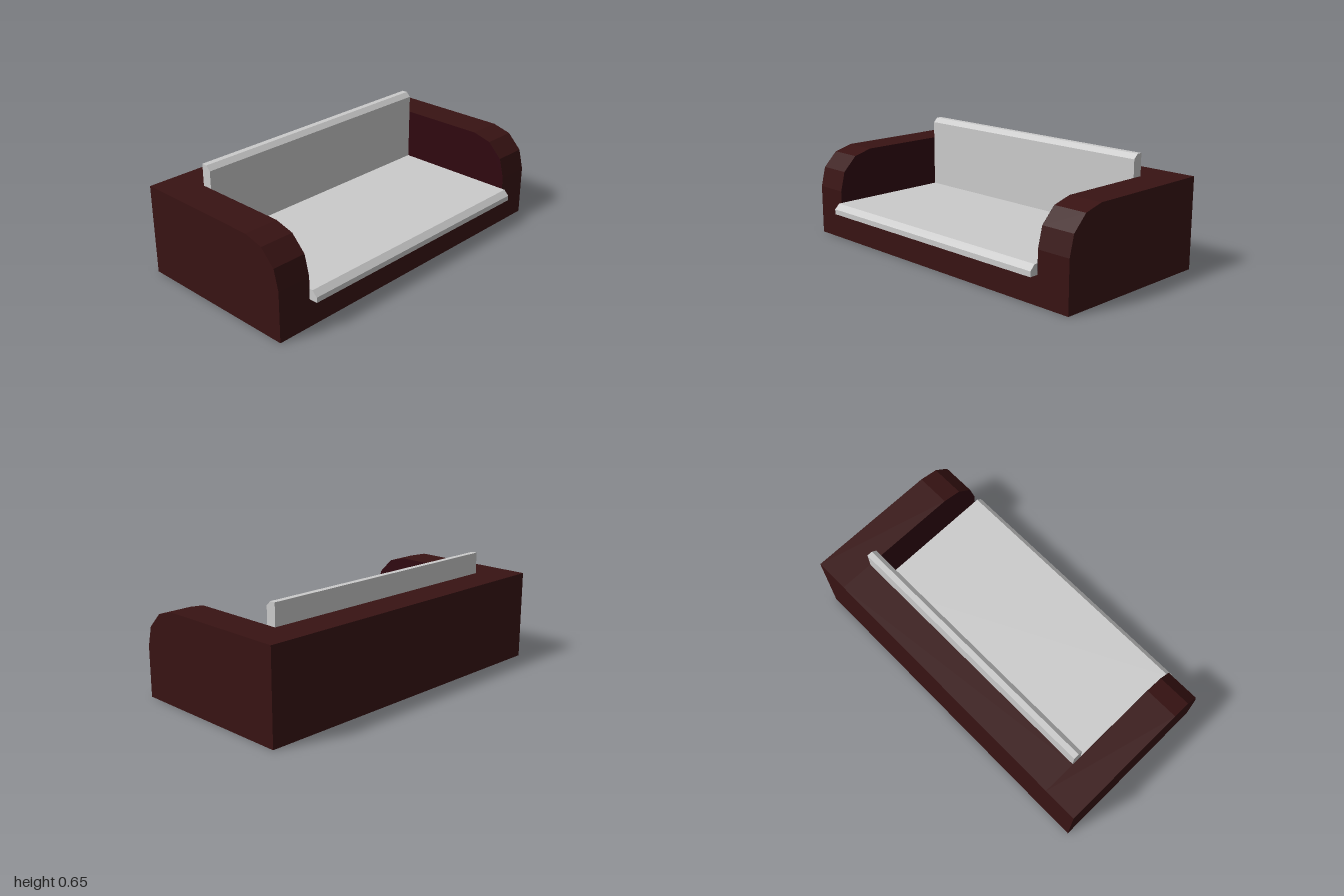
import * as THREE from 'three';

const wood = new THREE.MeshStandardMaterial({ color: 0x381313, flatShading: true });
const lining = new THREE.MeshStandardMaterial({ color: 0x300810, flatShading: true, side: THREE.DoubleSide });
const fabric = new THREE.MeshStandardMaterial({ color: 0xcccccc, flatShading: true });

// Side profile given as [z, y] points
function profile(points) {
  return new THREE.Shape(points.map(([z, y]) => new THREE.Vector2(z, y)));
}

// Extrudes a side profile along x, centred on the given x
function slab(name, points, width, x, material) {
  const geometry = new THREE.ExtrudeGeometry(profile(points), { depth: width, bevelEnabled: false });
  geometry.translate(0, 0, -width / 2).rotateY(-Math.PI / 2);
  const mesh = new THREE.Mesh(geometry, material);
  mesh.name = name;
  mesh.position.x = x;
  return mesh;
}

export function createModel() {
  const sofa = new THREE.Group();
  sofa.name = 'sofa';

  const front = 0.475, back = -0.525, top = 0.52;
  const seatBottom = 0.16, seatTop = 0.22, backFront = -0.265, backRear = -0.325;
  const inner = 0.8;

  // Base and thick rear wall between the arms
  sofa.add(slab('frame', [
    [back, 0], [front, 0], [front, seatBottom], [backRear, seatBottom], [backRear, top], [back, top],
  ], inner * 2, 0, wood));

  // Arms with a faceted, rounded front corner, lined on the inside
  const armProfile = [
    [back, 0], [front, 0], [front, 0.29], [0.446, 0.405], [0.362, 0.49], [0.25, top], [back, top],
  ];
  const liningProfile = [[backRear, seatBottom], [front, seatBottom], ...armProfile.slice(2, 6), [backRear, top]];
  for (const [side, label] of [[1, 'left'], [-1, 'right']]) {
    sofa.add(slab(label + 'Arm', armProfile, 1 - inner, side * 0.9, wood));
    const panel = new THREE.Mesh(new THREE.ShapeGeometry(profile(liningProfile)).rotateY(-Math.PI / 2), lining);
    panel.name = label + 'ArmLining';
    panel.position.x = side * (inner - 0.001);
    sofa.add(panel);
  }

  // Seat pad with a chamfered front lip
  sofa.add(slab('seat', [
    [backRear, seatBottom], [0.525, seatBottom], [0.525, 0.19], [0.495, seatTop], [backRear, seatTop],
  ], inner * 2 - 0.004, 0, fabric));

  // Backrest pad with a chamfered top edge
  sofa.add(slab('backrest', [
    [backRear, seatTop], [backFront, seatTop], [backFront, 0.62], [-0.292, 0.646], [backRear, 0.646],
  ], inner * 2 - 0.004, 0, fabric));

  return sofa;
}
